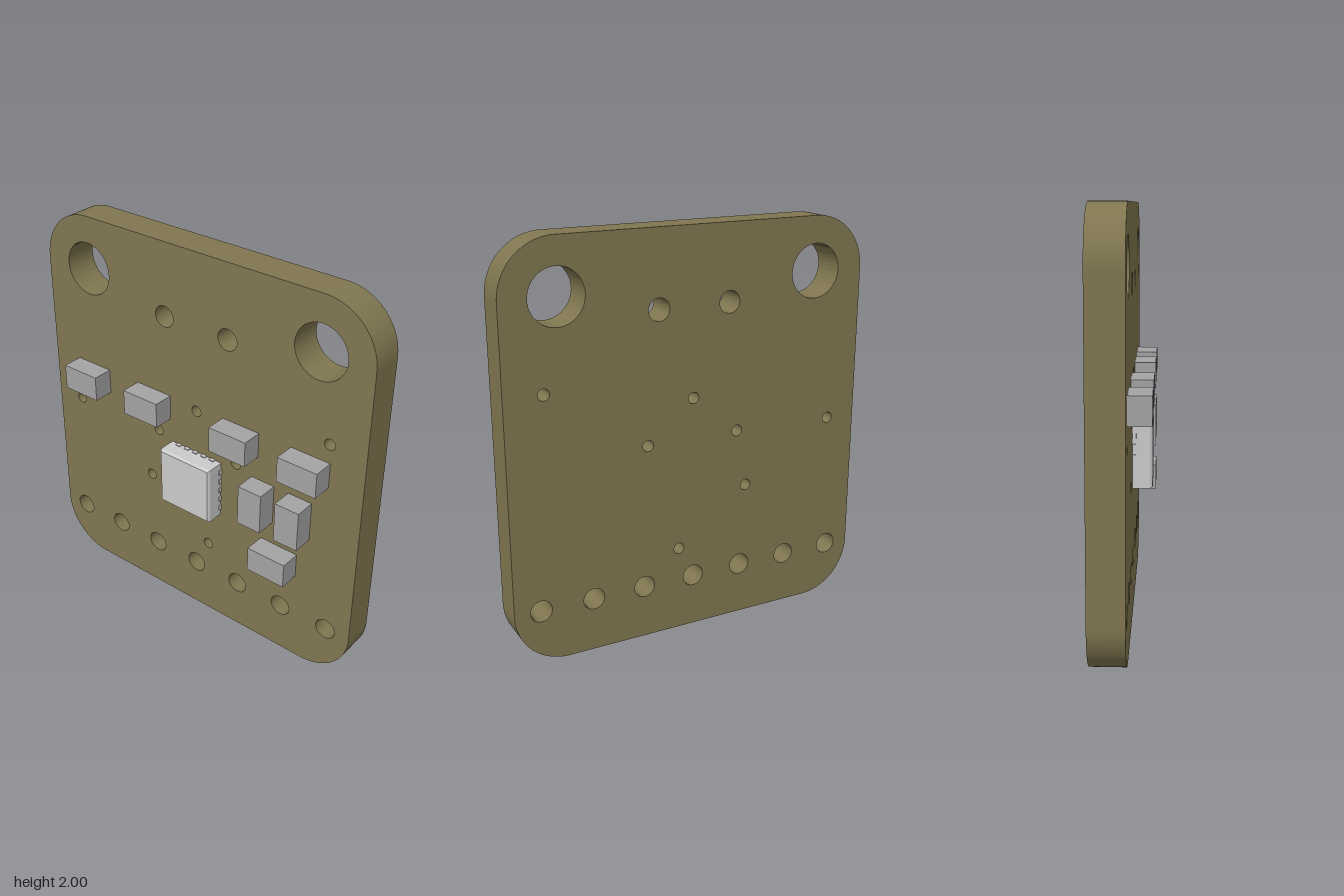
import * as THREE from 'three';

const FRONT = 0.03, BACK = -0.135; // board faces in z

function part(parent, name, geometry, color, x = 0, y = 0, z = 0) {
  const mesh = new THREE.Mesh(geometry, new THREE.MeshStandardMaterial({ color }));
  mesh.name = name;
  mesh.position.set(x, y, z);
  parent.add(mesh);
  return mesh;
}

// Rounded plate outline
function plateShape(w, h, r) {
  const s = new THREE.Shape();
  const q = Math.PI / 2;
  s.absarc(w - r, r, r, -q, 0);
  s.absarc(w - r, h - r, r, 0, q);
  s.absarc(-w + r, h - r, r, q, 2 * q);
  s.absarc(-w + r, r, r, 2 * q, 3 * q);
  s.closePath();
  return s;
}

export function createModel() {
  const model = new THREE.Group();
  model.name = 'sensorBoard';

  // Circuit board with all its drilled holes
  const shape = plateShape(0.933, 2, 0.267);
  const drill = (x, y, r) => shape.holes.push(new THREE.Path().absarc(x, y, r, 0, Math.PI * 2, true));
  for (const s of [-1, 1]) drill(s * 0.667, 1.735, 0.133);
  for (const x of [-0.19, 0.178]) drill(x, 1.63, 0.054);
  for (let i = -3; i <= 3; i++) drill(i * 0.267, 0.267, 0.054);
  const vias = [[0.745, 1.31], [0, 1.19], [-0.775, 0.975], [-0.24, 0.99],
    [0.24, 0.99], [-0.295, 0.697], [0.078, 0.43]];
  for (const [x, y] of vias) drill(x, y, 0.028);
  const board = new THREE.ExtrudeGeometry(shape, { depth: FRONT - BACK, bevelEnabled: false, curveSegments: 20 });
  part(model, 'board', board, 0x807650, 0, 0, BACK);

  // Small block components, lying or upright
  const long = 0.21, short = 0.13, height = 0.105;
  const blocks = [[-0.667, 1.15], [-0.267, 1.15], [0.263, 1.15], [0.65, 1.15],
    [0.4, 0.856, true], [0.61, 0.856, true], [0.507, 0.564]];
  for (const [x, y, upright] of blocks) {
    const g = new THREE.BoxGeometry(upright ? short : long, upright ? long : short, height);
    part(model, 'component', g, 0xa3a3a3, x, y, FRONT + height / 2);
  }

  // Square chip: body, chamfered front and contact pads on its sides
  const chip = new THREE.Group();
  chip.name = 'chip';
  chip.position.set(0, 0.805, FRONT);
  model.add(chip);
  const half = 0.153;
  part(chip, 'chipBody', new THREE.BoxGeometry(2 * half, 2 * half, 0.084), 0xcccccc, 0, 0, 0.042);
  const lid = new THREE.CylinderGeometry((half - 0.008) * Math.SQRT2, half * Math.SQRT2, 0.013, 4, 1)
    .rotateY(Math.PI / 4).rotateX(Math.PI / 2).toNonIndexed();
  lid.computeVertexNormals();
  part(chip, 'chipLid', lid, 0xcccccc, 0, 0, 0.0905);

  for (let side = 0; side < 4; side++) {
    const row = new THREE.Group();
    row.name = 'padRow';
    row.rotation.z = side * Math.PI / 2;
    chip.add(row);
    for (let i = -2; i <= 2; i++) {
      part(row, 'pad', new THREE.BoxGeometry(0.026, 0.01, 0.018), 0xcccccc, i * 0.052, half, 0.009);
    }
  }
  return model;
}
